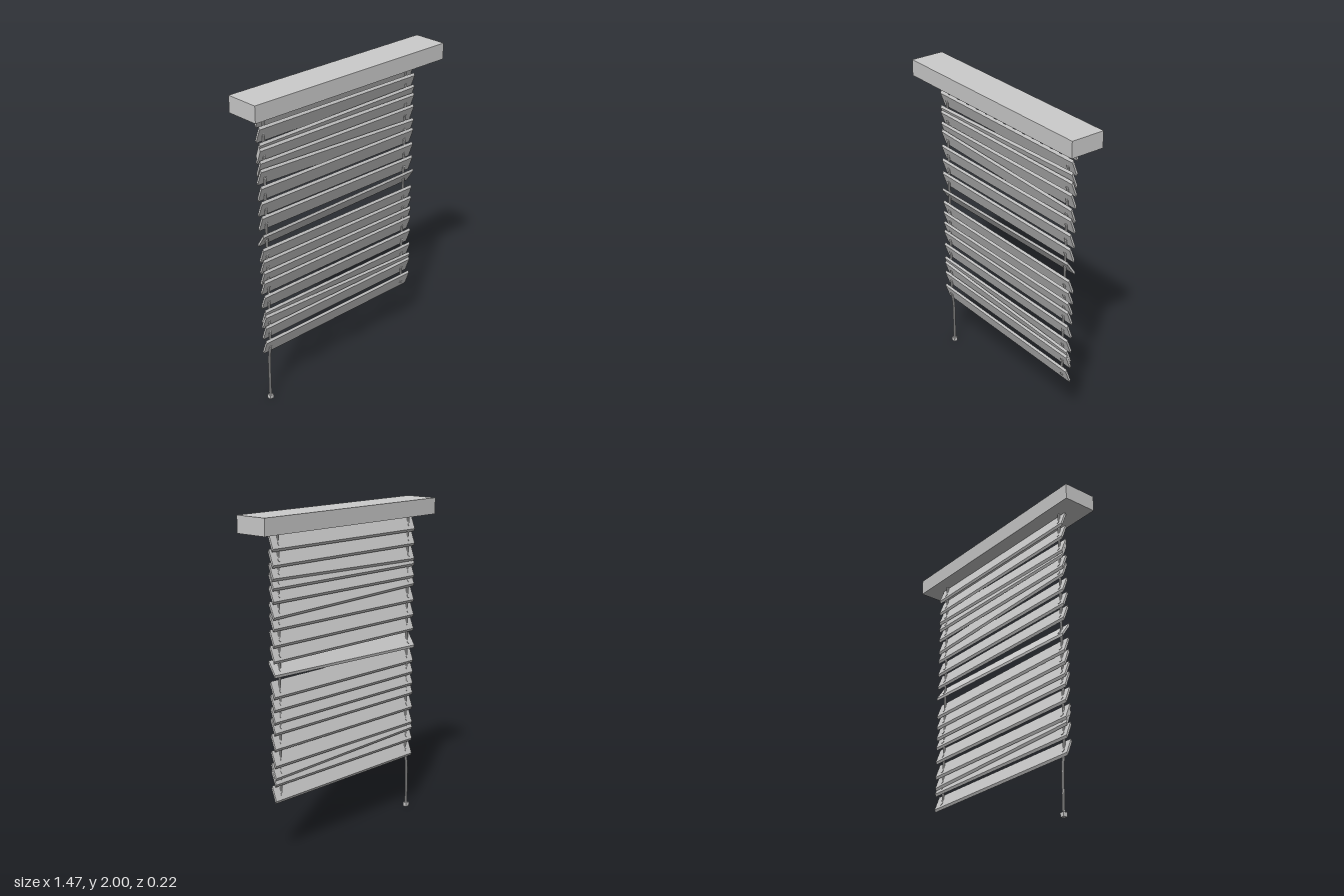
import * as THREE from 'three';

const material = new THREE.MeshStandardMaterial({ color: 0xcccccc, flatShading: true });
const SLAT_WIDTH = 1.226;
const CORD_Z = -0.026;

function addMesh(parent, geometry, name, x = 0, y = 0, z = 0) {
  const mesh = new THREE.Mesh(geometry, material);
  mesh.name = name;
  mesh.position.set(x, y, z);
  parent.add(mesh);
  return mesh;
}

// Slat: slanted cross-section (top leaning forward) swept along x
function slatGeometry() {
  const section = new THREE.Shape([
    [-0.013, 0.052], [-0.020, 0.036], [0.013, -0.052], [0.020, -0.036],
  ].map(([x, y]) => new THREE.Vector2(x, y)));
  const geometry = new THREE.ExtrudeGeometry(section, { depth: SLAT_WIDTH, bevelEnabled: false });
  geometry.translate(0, 0, -SLAT_WIDTH / 2);
  geometry.rotateY(Math.PI / 2); // section x becomes -z
  return geometry;
}

// Straight cord through a list of points
function cordGeometry(points, radius) {
  const path = new THREE.CurvePath();
  for (let i = 1; i < points.length; i++) {
    path.add(new THREE.LineCurve3(new THREE.Vector3(...points[i - 1]), new THREE.Vector3(...points[i])));
  }
  return new THREE.TubeGeometry(path, 40, radius, 8, false);
}

export function createModel() {
  const blind = new THREE.Group();
  blind.name = 'windowBlind';

  // Head rail
  addMesh(blind, new THREE.BoxGeometry(1.466, 0.1, 0.216), 'headRail', 0, 1.95, 0);

  // Slats: height of the upper edge, sideways rise, extra forward tilt
  const slats = [
    [1.894], [1.804], [1.72, 0.022], [1.677], [1.602], [1.531, -0.038],
    [1.448], [1.353], [1.263], [1.165, 0.028, 0.23], [1.056], [0.981], [0.907],
    [0.843], [0.748], [0.647], [0.592, -0.037], [0.536], [0.435],
  ];
  const slat = slatGeometry();
  const cordXs = [-0.57, 0.555];
  const eyelet = new THREE.CylinderGeometry(0.012, 0.012, 0.018, 10);
  eyelet.rotateX(Math.PI / 2 + 0.36);
  for (const [edge, rise = 0, tilt = 0] of slats) {
    const group = new THREE.Group();
    group.name = 'slatAssembly';
    group.position.set(0, edge - 0.044, CORD_Z);
    group.rotation.set(tilt, 0, Math.atan2(rise, SLAT_WIDTH));
    addMesh(group, slat, 'slat');
    // Eyelets where the cords pass through
    for (const x of cordXs) addMesh(group, eyelet, 'cordEyelet', x, -0.012, -0.004);
    blind.add(group);
  }

  // Right-hand lift cord, hidden behind the bottom slat
  addMesh(blind, cordGeometry([[cordXs[1], 1.92, CORD_Z], [cordXs[1], 0.37, CORD_Z]], 0.0075), 'liftCord');

  // Pull cord, bending back below the slats
  const pullX = cordXs[0];
  addMesh(blind, cordGeometry([
    [pullX, 1.92, CORD_Z], [pullX, 0.38, CORD_Z], [pullX, 0.29, -0.04], [pullX, 0.02, -0.04],
  ], 0.008), 'pullCord');

  // Pull cord end
  addMesh(blind, new THREE.BoxGeometry(0.027, 0.026, 0.027), 'cordEnd', pullX, 0.013, -0.04);

  return blind;
}
